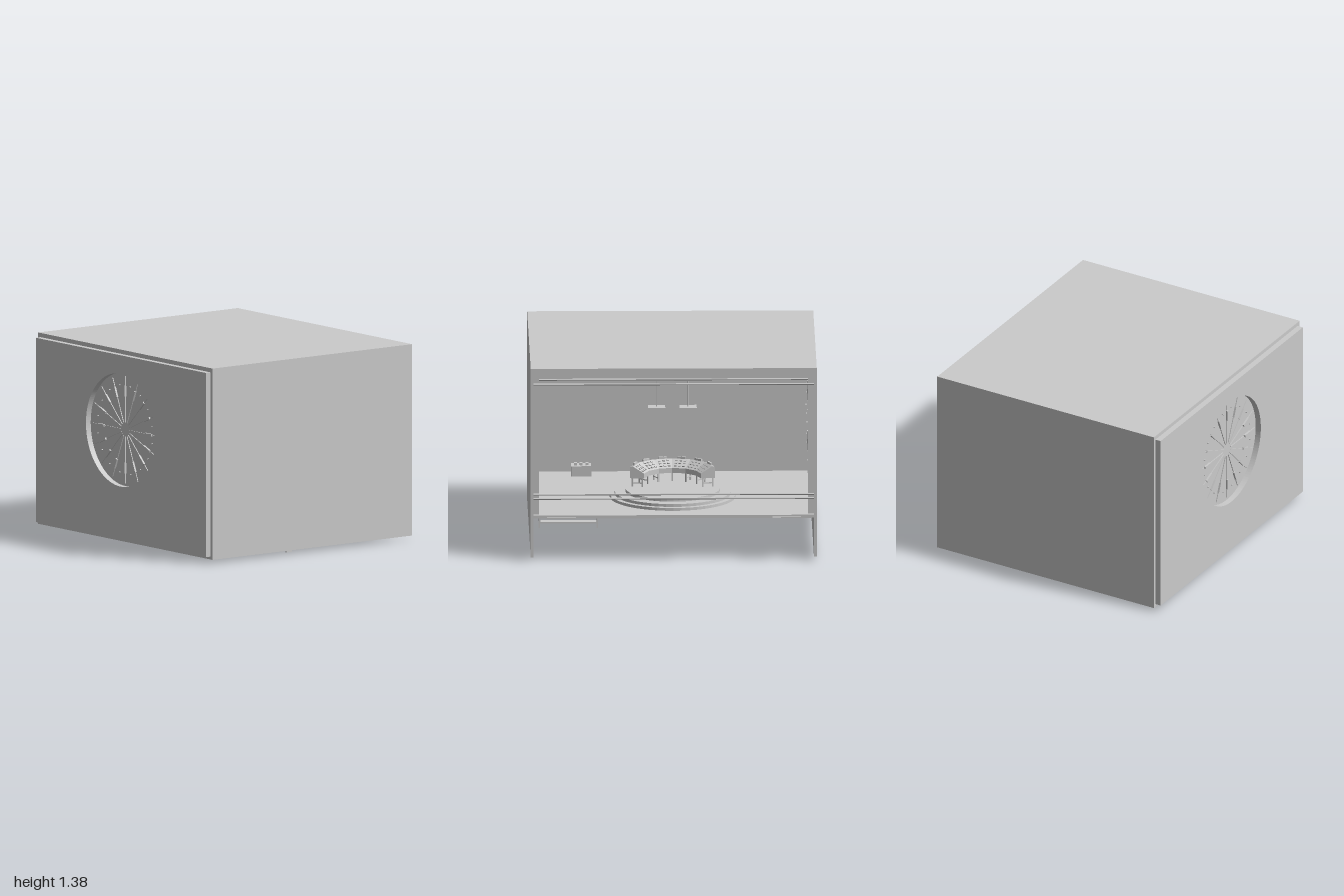
import * as THREE from 'three';

const mat = new THREE.MeshStandardMaterial({ color: 0xcccccc, flatShading: true });
const thin = new THREE.MeshStandardMaterial({ color: 0xcccccc, flatShading: true, side: THREE.DoubleSide });

function add(parent, name, geo, x = 0, y = 0, z = 0, m = mat) {
  const mesh = new THREE.Mesh(geo, m);
  mesh.name = name;
  mesh.position.set(x, y, z);
  parent.add(mesh);
  return mesh;
}

// Box given by its extents along each axis
function block(parent, name, [x0, x1], [y0, y1], [z0, z1]) {
  return add(parent, name, new THREE.BoxGeometry(x1 - x0, y1 - y0, z1 - z0),
    (x0 + x1) / 2, (y0 + y1) / 2, (z0 + z1) / 2);
}

function section(parent, name) {
  const g = new THREE.Group();
  g.name = name;
  parent.add(g);
  return g;
}

function buildShell(root) {
  const g = section(root, 'shell');
  for (const s of [-1, 1]) {
    block(g, 'sideWall', s < 0 ? [-1, -0.98] : [0.98, 1], [0.025, 1.38], [-0.89, 0.87]);
  }
  block(g, 'roof', [-0.98, 0.98], [1.355, 1.38], [-0.89, 0.87]);
  block(g, 'frontWall', [-0.98, 0.98], [0.025, 1.355], [0.85, 0.868]);

  // Outer front panel with a round opening
  const s = new THREE.Shape([
    new THREE.Vector2(-0.975, 0.045), new THREE.Vector2(0.975, 0.045),
    new THREE.Vector2(0.975, 1.35), new THREE.Vector2(-0.975, 1.35)]);
  s.holes.push(new THREE.Path().absarc(0, 0.82, 0.4, 0, Math.PI * 2, true));
  add(g, 'frontPanel', new THREE.ExtrudeGeometry(s, { depth: 0.042, bevelEnabled: false, curveSegments: 64 }), 0, 0, 0.868);
}

function buildRoundel(root) {
  const g = section(root, 'roundel');
  g.position.set(0, 0.82, 0.868);
  for (let i = 0; i < 16; i++) {
    const arm = section(g, 'roundelArm');
    arm.rotation.z = i * Math.PI / 8;
    block(arm, 'spoke', [0.05, 0.38], [-0.002, 0.002], [0, 0.006]);
    block(arm, 'spokeBar', [0.235, 0.31], [-0.008, 0.008], [0, 0.014]);
    const peg = add(arm, 'peg', new THREE.CylinderGeometry(0.004, 0.004, 0.012, 6),
      0.315 * Math.cos(0.2), 0.315 * Math.sin(0.2), 0.006);
    peg.rotation.x = Math.PI / 2;
  }
}

function buildFloors(root) {
  const g = section(root, 'floors');
  block(g, 'mainFloor', [-0.98, 0.98], [0.305, 0.327], [-0.89, 0.454]);
  block(g, 'riser', [-0.98, 0.98], [0.025, 0.305], [0.436, 0.454]);
  block(g, 'lowerFloor', [-0.98, 0.98], [0.025, 0.045], [0.454, 0.85]);
  for (const x of [-0.79, 0.785]) block(g, 'rearPlate', [x - 0.1, x + 0.1], [0.308, 0.314], [-0.91, -0.89]);

  // Stair under the main floor, rising toward the back
  const n = 6;
  for (let i = 0; i < n; i++) {
    const z = 0.14 - i * 0.052, y = 0.035 + i * 0.05;
    block(g, 'stairTread', [0.525, 0.92], [y, y + 0.01], [z - 0.03, z + 0.03]);
    for (const x of [0.515, 0.92]) {
      block(g, 'stairStringer', [x, x + 0.01], [i ? y - 0.03 : 0, Math.min(y + 0.04, 0.305)], [z - 0.026, z + 0.024]);
    }
  }

  // Round stepped dais
  [0.44, 0.405, 0.33].forEach((r, i) =>
    add(g, 'daisStep', new THREE.CylinderGeometry(r, r, 0.02, 48), 0, 0.337 + i * 0.02, -0.32));
}

function buildConsole(root) {
  const g = section(root, 'console');
  g.position.set(0, 0, -0.32);
  const span = Math.PI * 0.92, start = -span / 2, n = 6;
  const profile = [[0.2, 0.45], [0.3, 0.45], [0.3, 0.53], [0.28, 0.535], [0.2, 0.485], [0.2, 0.45]]
    .map(([r, y]) => new THREE.Vector2(r, y));
  add(g, 'desk', new THREE.LatheGeometry(profile, n, start, span), 0, 0, 0, thin);
  const cap = new THREE.ShapeGeometry(new THREE.Shape(profile));
  for (const a of [start, -start]) add(g, 'deskEnd', cap, 0, 0, 0, thin).rotation.y = a - Math.PI / 2;

  // Legs and braces at the joints
  for (let i = 0; i <= n; i++) {
    const joint = section(g, 'legPair');
    joint.rotation.y = start + span * (0.02 + 0.96 * i / n);
    for (const r of [0.215, 0.285]) block(joint, 'leg', [-0.005, 0.005], [0.387, 0.455], [r - 0.005, r + 0.005]);
    block(joint, 'legBrace', [-0.004, 0.004], [0.41, 0.418], [0.215, 0.285]);
  }
  // Buttons on each sloped panel
  for (let i = 0; i < n; i++) {
    const panel = section(g, 'controls');
    panel.rotation.y = start + span * (i + 0.5) / n;
    for (let r = 0; r < 3; r++) for (let c = -1; c <= 1; c++) {
      const z = 0.212 + r * 0.022;
      const b = add(panel, 'button', new THREE.BoxGeometry(0.018, 0.012, 0.012),
        c * 0.03, 0.485 + (z - 0.194) * 0.625 + 0.002, z);
      b.rotation.x = -0.56;
    }
    block(panel, 'screen', [-0.03, 0.03], [0.53, 0.55], [0.272, 0.285]);
  }
}

function buildInterior(root) {
  const g = section(root, 'interior');
  // Ceiling beams
  for (let i = 0; i < 5; i++) {
    const z = -0.72 + i * 0.35;
    block(g, 'ceilingBeam', [-0.95, 0.95], [1.275, 1.356], [z - 0.1, z + 0.08]);
    for (const x of [-0.45, 0.35]) block(g, 'ceilingLight', [x - 0.15, x + 0.15], [1.268, 1.275], [z - 0.03, z + 0.02]);
  }
  // Horizontal wall boards with staggered blocks in the gaps
  for (const s of [-1, 1]) {
    const wall = section(g, 'wallCladding');
    for (let r = 0; r < 5; r++) {
      const y = 0.36 + r * 0.18;
      const xs = w => (s < 0 ? [-0.981, -0.98 + w] : [0.98 - w, 0.981]);
      block(wall, 'wallBoard', xs(0.025), [y, y + 0.135], [-0.83, 0.85]);
      for (let c = 0; c < 6; c++) {
        const z = -0.7 + c * 0.27 + (r % 2) * 0.12;
        block(wall, 'wallBlock', xs(0.035), [y + 0.1, y + 0.19], [z - 0.02, z + 0.02]);
      }
    }
    block(wall, 'rearPost', s < 0 ? [-0.98, -0.94] : [0.94, 0.98], [0.327, 1.355], [-0.85, -0.83]);
  }
  // Rails across the open back
  for (const [y, z] of [[0.47, -0.86], [0.44, -0.86], [1.26, -0.86], [1.29, -0.84]]) {
    add(g, 'rail', new THREE.CylinderGeometry(0.007, 0.007, 1.96, 8), 0, y, z).rotation.z = Math.PI / 2;
  }
  // Two hanging monitors
  for (const x of [-0.11, 0.11]) {
    const m = section(g, 'hangingMonitor');
    block(m, 'monitorBody', [x - 0.06, x + 0.06], [0.9, 0.945], [-0.25, -0.15]);
    add(m, 'monitorRod', new THREE.CylinderGeometry(0.004, 0.004, 0.415, 6), x, 1.15, -0.2);
  }
  // Small cabinet near the edge of the main floor
  block(g, 'cabinet', [0.56, 0.7], [0.327, 0.4], [0.3, 0.4]);
  for (let i = 0; i < 3; i++) block(g, 'cabinetKnob', [0.58 + i * 0.04, 0.6 + i * 0.04], [0.4, 0.415], [0.33, 0.36]);
}

export function createModel() {
  const root = new THREE.Group();
  root.name = 'roomSet';
  buildShell(root);
  buildRoundel(root);
  buildFloors(root);
  buildConsole(root);
  buildInterior(root);
  return root;
}
